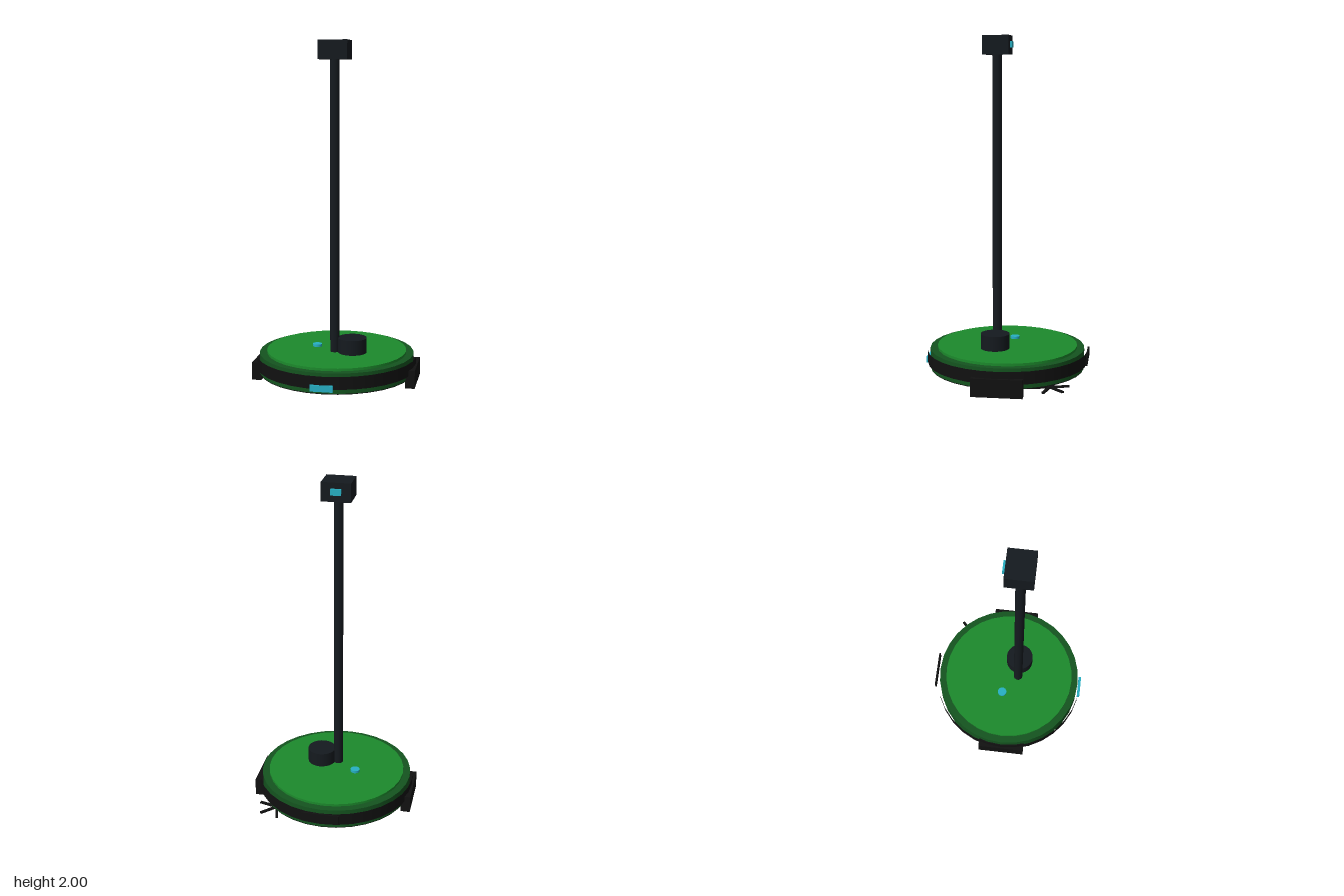
import * as THREE from 'three';

const material = (color) => new THREE.MeshStandardMaterial({ color });
const BRIGHT = material(0x1c8a2c);
const DARK = material(0x14541f);
const BLACK = material(0x111111);
const SLATE = material(0x151a1f);
const TEAL = material(0x27b0c4);

export function createModel() {
  const model = new THREE.Group();

  const add = (name, geometry, mat, x, y, z) => {
    const mesh = new THREE.Mesh(geometry, mat);
    mesh.name = name;
    mesh.position.set(x, y, z);
    model.add(mesh);
    return mesh;
  };
  // Box and disc helpers: y0 and y1 are the bottom and top heights
  const box = (name, mat, w, d, x, z, y0, y1) =>
    add(name, new THREE.BoxGeometry(w, y1 - y0, d), mat, x, (y0 + y1) / 2, z);
  const disc = (name, mat, r, x, z, y0, y1, sides = 32, open = false) =>
    add(name, new THREE.CylinderGeometry(r, r, y1 - y0, sides, 1, open), mat, x, (y0 + y1) / 2, z);

  // Round body: underside, shell, raised lid and open bumper band
  disc('underside', BLACK, 0.458, 0, 0, 0.04, 0.046);
  disc('bodyShell', DARK, 0.46, 0, 0, 0.045, 0.162);
  disc('topLid', BRIGHT, 0.417, 0, 0, 0.16, 0.177);
  disc('bumperBand', BLACK, 0.476, 0, 0, 0.073, 0.147, 32, true);
  box('rearBar', BLACK, 0.22, 0.01, 0, -0.48, 0.09, 0.145);
  box('frontSensor', TEAL, 0.13, 0.016, 0, 0.474, 0.06, 0.097);

  // Wheels on both sides
  for (const side of [1, -1]) {
    box(side > 0 ? 'leftWheel' : 'rightWheel', BLACK, 0.056, 0.293, side * 0.458, 0, 0, 0.106);
  }

  // Sweeping brush: three crossed bars
  const brush = new THREE.Group();
  brush.name = 'sideBrush';
  brush.position.set(0.315, 0.02, -0.283);
  for (let i = 0; i < 3; i++) {
    const bar = new THREE.Mesh(new THREE.BoxGeometry(0.226, 0.01, 0.016), BLACK);
    bar.name = 'brushBar';
    bar.rotation.y = -Math.PI / 12 + (i * Math.PI) / 3;
    brush.add(bar);
  }
  model.add(brush);

  // Turret and button on the lid
  disc('turret', SLATE, 0.085, 0.105, 0.06, 0.17, 0.265, 24);
  disc('button', TEAL, 0.028, -0.124, -0.031, 0.17, 0.192, 20);

  // Mast with camera head and rear-facing lens
  disc('mast', SLATE, 0.028, 0, 0.061, 0.17, 1.9, 16);
  box('cameraHead', SLATE, 0.17, 0.154, 0, 0.059, 1.89, 2);
  box('lens', TEAL, 0.06, 0.014, 0, -0.024, 1.93, 1.966);

  return model;
}
